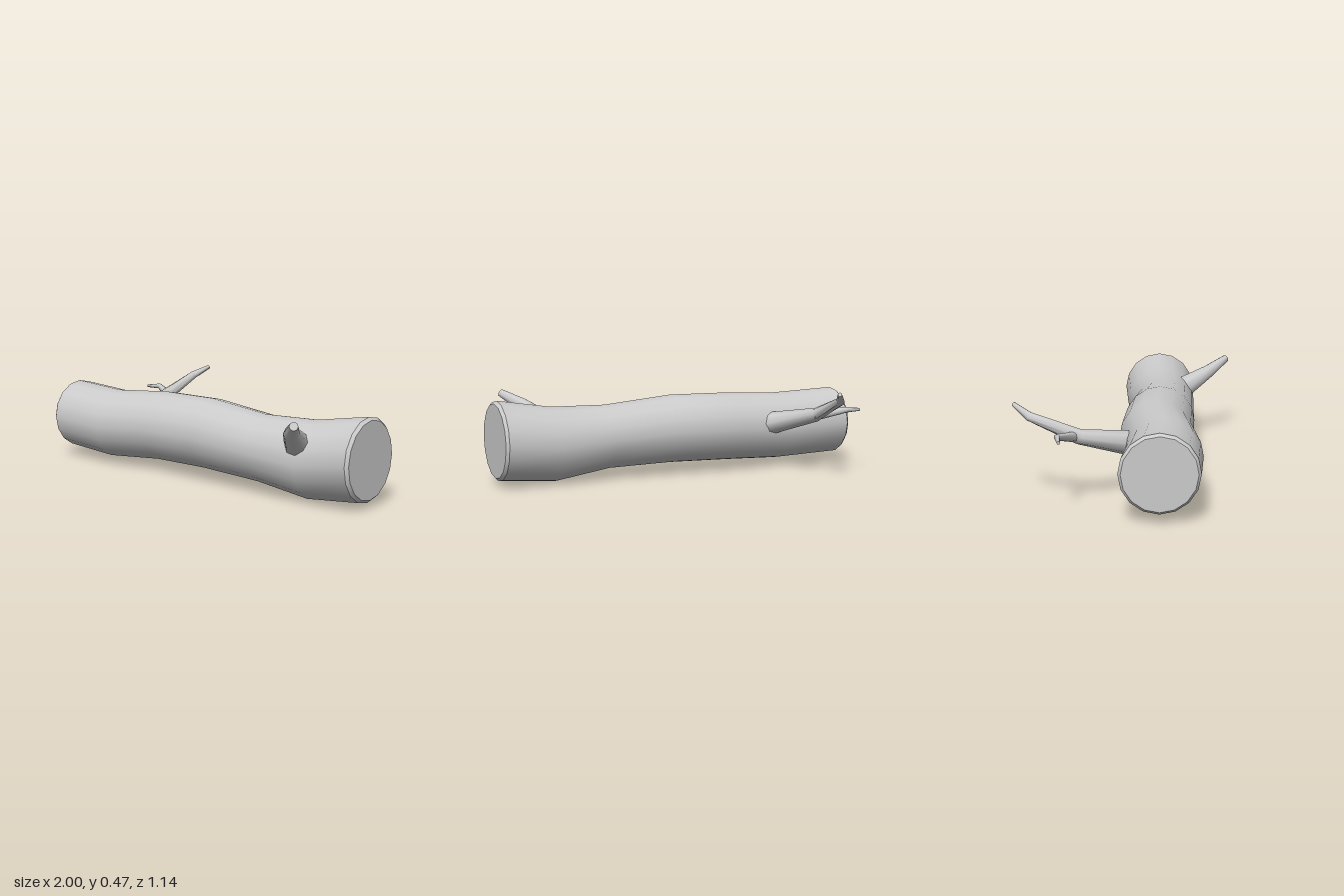
import * as THREE from 'three';
import { toCreasedNormals } from 'three/addons/utils/BufferGeometryUtils.js';

const material = new THREE.MeshStandardMaterial({ color: 0xcccccc });

// Capped tube through rings [x, y, z, radius]; rings follow the path unless a fixed axis is given
function loft(name, rings, sides, crease, axis) {
  const centres = rings.map(r => new THREE.Vector3(r[0], r[1], r[2]));
  const last = rings.length - 1;
  const positions = [], index = [];
  centres.forEach((c, i) => {
    const before = centres[Math.max(i - 1, 0)], after = centres[Math.min(i + 1, last)];
    const dirIn = c.clone().sub(before).normalize();
    const dirOut = after.clone().sub(c).normalize();
    const t = axis ? axis : dirIn.add(dirOut).normalize();
    const side = new THREE.Vector3().crossVectors(t, new THREE.Vector3(0, 1, 0)).normalize();
    const up = new THREE.Vector3().crossVectors(side, t);
    for (let k = 0; k < sides; k++) {
      const a = (k / sides) * Math.PI * 2;
      const p = c.clone()
        .addScaledVector(up, Math.cos(a) * rings[i][3])
        .addScaledVector(side, Math.sin(a) * rings[i][3]);
      positions.push(p.x, p.y, p.z);
    }
  });
  for (let i = 0; i < last; i++) {
    for (let k = 0; k < sides; k++) {
      const n = (k + 1) % sides;
      const a = i * sides + k, b = i * sides + n, c = a + sides, d = b + sides;
      index.push(a, b, c, b, d, c);
    }
  }
  // end caps
  for (let k = 1; k < sides - 1; k++) {
    const e = last * sides;
    index.push(0, k + 1, k, e, e + k, e + k + 1);
  }
  const geometry = new THREE.BufferGeometry();
  geometry.setAttribute('position', new THREE.Float32BufferAttribute(positions, 3));
  geometry.setIndex(index);
  const mesh = new THREE.Mesh(toCreasedNormals(geometry, crease), material);
  mesh.name = name;
  return mesh;
}

export function createModel() {
  const log = new THREE.Group();
  log.name = 'log';

  // gently wavy trunk with chamfered ends
  log.add(loft('trunk', [
    [-1, 0.23, 0.115, 0.174],
    [-0.985, 0.23, 0.115, 0.187],
    [-0.63, 0.214, 0.147, 0.186],
    [-0.31, 0.232, 0.115, 0.186],
    [0.03, 0.236, 0.14, 0.184],
    [0.4, 0.212, 0.17, 0.17],
    [0.7, 0.194, 0.163, 0.194],
    [0.985, 0.23, 0.16, 0.204],
    [1, 0.23, 0.16, 0.19],
  ], 16, 0.6, new THREE.Vector3(1, 0, 0)));

  // short stub at the front
  log.add(loft('frontBranch', [
    [0.65, 0.23, 0.19, 0.073],
    [0.69, 0.295, 0.315, 0.062],
    [0.755, 0.37, 0.45, 0.038],
    [0.842, 0.43, 0.555, 0.021],
  ], 8, 1));

  // long forked branch at the rear
  const rear = new THREE.Group();
  rear.name = 'rearBranch';
  rear.add(loft('rearLimb', [
    [-0.45, 0.225, 0.08, 0.068],
    [-0.52, 0.255, -0.03, 0.06],
    [-0.652, 0.317, -0.255, 0.037],
    [-0.64, 0.412, -0.49, 0.023],
    [-0.582, 0.459, -0.568, 0.011],
  ], 8, 1));
  rear.add(loft('rearTwig', [
    [-0.635, 0.313, -0.262, 0.028],
    [-0.785, 0.347, -0.35, 0.015],
    [-0.87, 0.342, -0.338, 0.008],
  ], 8, 1));
  log.add(rear);
  return log;
}
